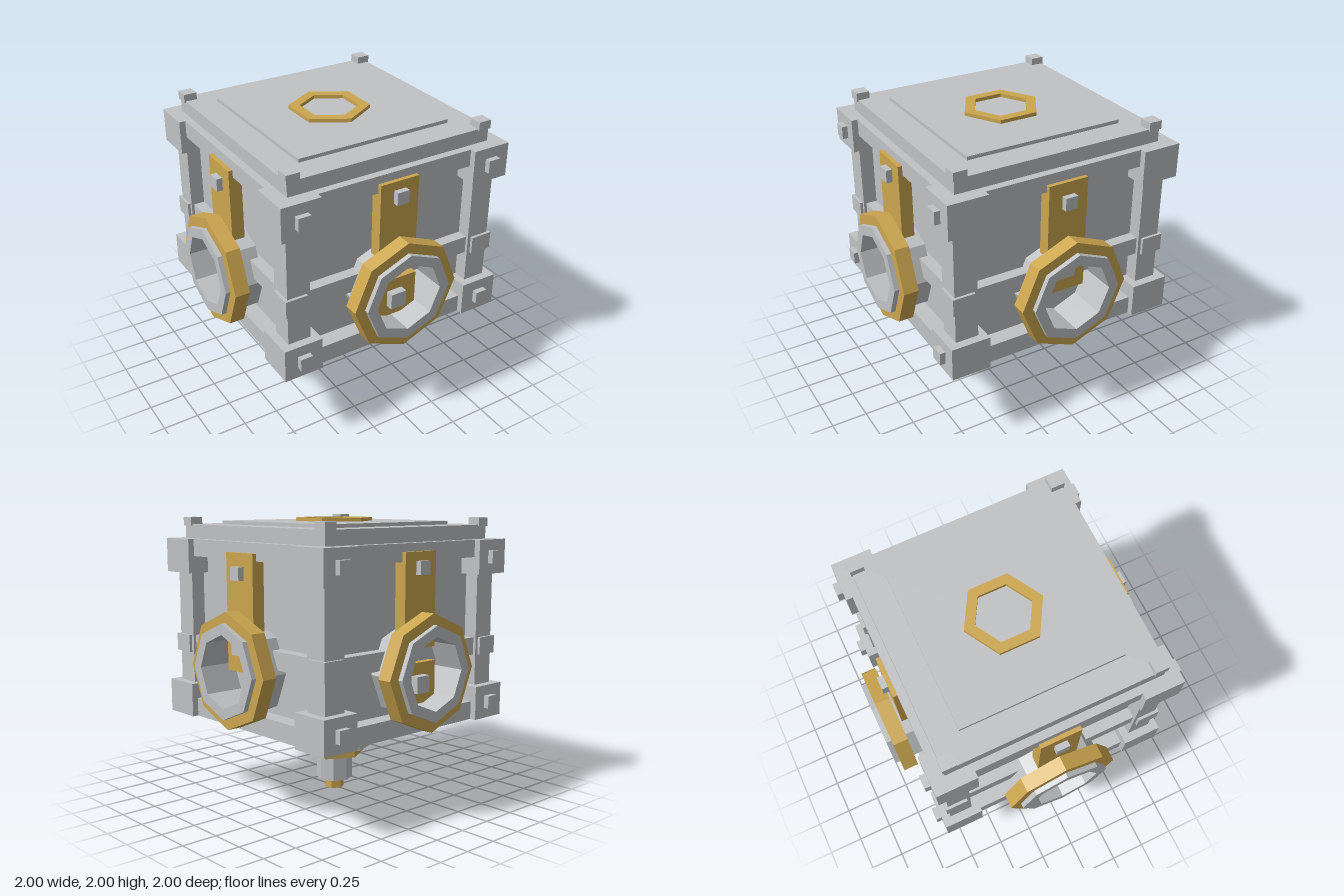
import * as THREE from 'three';

const steel = new THREE.MeshStandardMaterial({ color: 0xc0c2c4 });
steel.name = 'steelGrey';
const brass = new THREE.MeshStandardMaterial({ color: 0xcca64f });
brass.name = 'brassGold';

function add(parent, name, geometry, material) {
  const mesh = new THREE.Mesh(geometry, material);
  mesh.name = name;
  parent.add(mesh);
  return mesh;
}

// Box given by its minimum and maximum on each axis
function box(parent, name, material, [x0, x1], [y0, y1], [z0, z1]) {
  const mesh = add(parent, name, new THREE.BoxGeometry(x1 - x0, y1 - y0, z1 - z0), material);
  mesh.position.set((x0 + x1) / 2, (y0 + y1) / 2, (z0 + z1) / 2);
  return mesh;
}

// Upright prism with flat sides, first corner towards +z
function prism(parent, name, material, radius, sides, y0, y1) {
  const geometry = new THREE.CylinderGeometry(radius, radius, y1 - y0, sides).toNonIndexed();
  geometry.computeVertexNormals();
  add(parent, name, geometry, material).position.y = (y0 + y1) / 2;
}

// Faceted ring with a polygon hole, extruded along +z
function ring(outer, inner, sides, depth) {
  const polygon = (r) => Array.from({ length: sides }, (_, i) => {
    const a = Math.PI / 2 + (i * 2 * Math.PI) / sides;
    return new THREE.Vector2(r * Math.cos(a), r * Math.sin(a));
  });
  const shape = new THREE.Shape(polygon(outer));
  shape.holes.push(new THREE.Path(polygon(inner)));
  return new THREE.ExtrudeGeometry(shape, { depth, bevelEnabled: false });
}

function rivet(parent, x, y, z0, z1, size = 0.09) {
  const h = size / 2;
  box(parent, 'rivet', steel, [x - h, x + h], [y - h, y + h], [z0, z1]);
}

// One wall of the crate, built facing +z
function makeSide(name, isFace) {
  const side = new THREE.Group();
  side.name = name;

  // Frame rails
  box(side, 'topRail', steel, [-0.6, 0.6], [1.73, 1.85], [0.65, 0.815]);
  box(side, 'bottomRail', steel, [-0.6, 0.6], [0.57, 0.7], [0.65, 0.815]);
  box(side, 'middleRail', steel, [-0.64, 0.64], [1.03, 1.155], [0.65, 0.78]);

  // Octagonal porthole
  const tube = add(side, 'portTube', ring(0.325, 0.25, 8, 0.28), steel);
  tube.position.set(0, 1, 0.72);
  const collar = add(side, 'portCollar', ring(0.4, 0.324, 8, 0.105), brass);
  collar.position.set(0, 1, 0.86);

  // Brass strap with rivets
  const [low, high] = isFace ? [1.155, 1.795] : [0.98, 1.78];
  box(side, 'strap', brass, [-0.145, 0.145], [low, high], [0.755, 0.845]);
  for (const y of isFace ? [1.69, 1.25] : [1.645, 1.145]) rivet(side, 0, y, 0.82, 0.887);

  if (isFace) {
    // Plate inside the porthole
    box(side, 'portPlate', brass, [-0.17, 0.17], [0.775, 1.055], [0.69, 0.83]);
    rivet(side, 0, 0.915, 0.8, 0.885, 0.115);
    // Corner block rivets
    for (const x of [-0.72, 0.72]) for (const y of [0.69, 1.73]) rivet(side, x, y, 0.83, 0.9);
  }
  return side;
}

export function createModel() {
  const model = new THREE.Group();
  model.name = 'crate';

  // Core
  box(model, 'core', steel, [-0.7, 0.7], [0.62, 1.84], [-0.7, 0.7]);
  box(model, 'bottomPanel', steel, [-0.57, 0.57], [0.595, 0.63], [-0.57, 0.57]);

  // Four sides
  ['frontSide', 'leftSide', 'backSide', 'rightSide'].forEach((name, i) => {
    const side = makeSide(name, i % 2 === 0);
    side.rotation.y = (i * Math.PI) / 2;
    model.add(side);
  });

  // Corner posts, blocks, sleeves and lid studs
  for (const sx of [-1, 1]) for (const sz of [-1, 1]) {
    const corner = new THREE.Group();
    corner.name = 'corner';
    const span = (s, a, b) => (s > 0 ? [a, b] : [-b, -a]);
    const part = (name, a, b, y) =>
      box(corner, name, steel, span(sx, a, b), y, span(sz, a, b));
    part('post', 0.635, 0.8, [0.8, 1.62]);
    part('sleeve', 0.66, 0.82, [1.03, 1.155]);
    part('bottomBlock', 0.58, 0.86, [0.57, 0.81]);
    part('topBlock', 0.58, 0.86, [1.61, 1.85]);
    part('lidStud', 0.675, 0.77, [1.94, 2]);
    model.add(corner);
  }

  // Lid with raised panel and hexagonal ring
  box(model, 'lid', steel, [-0.76, 0.76], [1.83, 1.95], [-0.76, 0.76]);
  box(model, 'lidPanel', steel, [-0.57, 0.57], [1.94, 1.975], [-0.57, 0.57]);
  const lidRing = add(model, 'lidRing', ring(0.277, 0.2, 6, 0.035), brass);
  lidRing.rotation.x = -Math.PI / 2;
  lidRing.position.y = 1.965;

  // Stepped spindle under the crate
  box(model, 'spindleBase', steel, [-0.31, 0.31], [0.43, 0.6], [-0.31, 0.31]);
  prism(model, 'spindleFlange', steel, 0.28, 8, 0.33, 0.43);
  prism(model, 'spindleNut', brass, 0.22, 6, 0.265, 0.33);
  prism(model, 'spindleShaft', steel, 0.132, 8, 0.075, 0.265);
  prism(model, 'spindleTip', brass, 0.07, 6, 0, 0.075);

  return model;
}
